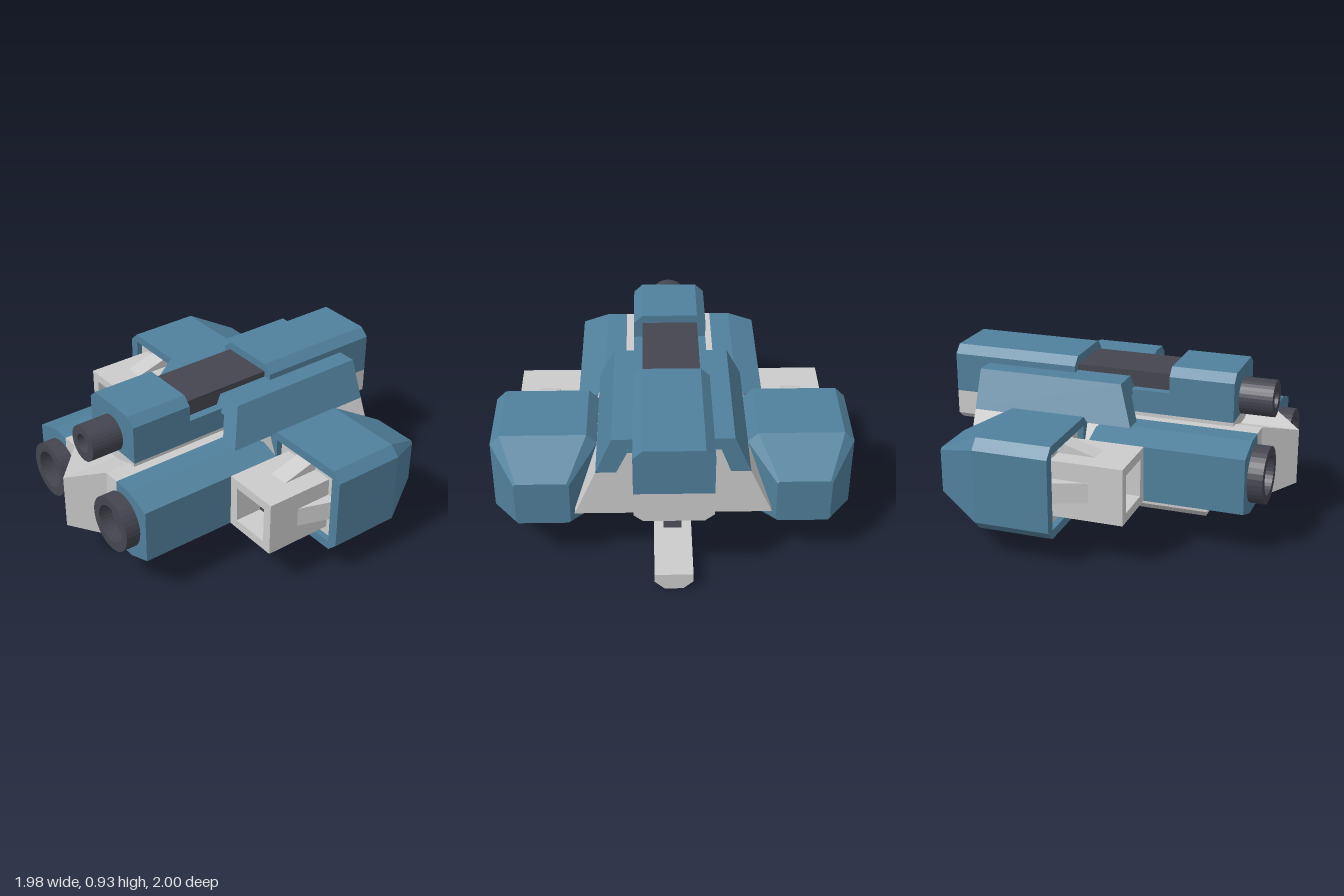
import * as THREE from 'three';

const mat = (color) => new THREE.MeshStandardMaterial({ color, flatShading: true });
const GREY = mat(0xcccccc), BLUE = mat(0x50809c), DARK = mat(0x44454f);
const SMOOTH_DARK = new THREE.MeshStandardMaterial({ color: 0x44454f, side: THREE.DoubleSide });

export function createModel() {
  const model = new THREE.Group();

  const add = (name, geometry, material, parent = model) => {
    const mesh = new THREE.Mesh(geometry, material);
    mesh.name = name;
    parent.add(mesh);
    return mesh;
  };

  // Box from its limits
  const box = (x0, x1, y0, y1, z0, z1) =>
    new THREE.BoxGeometry(x1 - x0, y1 - y0, z1 - z0)
      .translate((x0 + x1) / 2, (y0 + y1) / 2, (z0 + z1) / 2);

  // Convex cross-sections (counter-clockwise from the front) joined from back to front.
  // A point may carry a third value, an offset in z.
  const loft = (sections) => {
    const rings = sections.map(({ z, pts }) => pts.map(([x, y, dz = 0]) => [x, y, z + dz]));
    const out = [], n = rings[0].length;
    const tri = (a, b, c) => out.push(...a, ...b, ...c);
    for (let s = 0; s < rings.length - 1; s++) {
      for (let i = 0; i < n; i++) {
        const j = (i + 1) % n, p = rings[s], q = rings[s + 1];
        tri(p[i], p[j], q[j]);
        tri(p[i], q[j], q[i]);
      }
    }
    const back = rings[0], front = rings[rings.length - 1];
    for (let i = 1; i < n - 1; i++) {
      tri(back[0], back[i + 1], back[i]);
      tri(front[0], front[i], front[i + 1]);
    }
    const g = new THREE.BufferGeometry();
    g.setAttribute('position', new THREE.Float32BufferAttribute(out, 3));
    g.computeVertexNormals();
    return g;
  };
  const prism = (pts, z0, z1) =>
    loft([{ z: z0, pts: pts.map(([x, y]) => [x, y]) }, { z: z1, pts }]);
  const flip = (pts) => pts.map(([x, ...rest]) => [-x, ...rest]).reverse();
  const octagon = (cx, cy, hx, hy, c) => [
    [hx, c - hy], [hx, hy - c], [hx - c, hy], [c - hx, hy],
    [-hx, hy - c], [-hx, c - hy], [c - hx, -hy], [hx - c, -hy],
  ].map(([x, y]) => [cx + x, cy + y]);

  // Flat outline in (z, y) extruded across x
  const sidePlate = (pts, x0, x1) => {
    const shape = new THREE.Shape(pts.map(([z, y]) => new THREE.Vector2(-z, y)));
    return new THREE.ExtrudeGeometry(shape, { depth: x1 - x0, bevelEnabled: false })
      .rotateY(Math.PI / 2).translate(x0, 0, 0);
  };

  // Square frame with a hole, extruded along z
  const frame = (outer, hole, z0, z1) => {
    const v = (pts) => pts.map(([x, y]) => new THREE.Vector2(x, y));
    const shape = new THREE.Shape(v(outer));
    shape.holes.push(new THREE.Path(v(hole)));
    return new THREE.ExtrudeGeometry(shape, { depth: z1 - z0, bevelEnabled: false }).translate(0, 0, z0);
  };
  const square = (h, hy = h) => [[-h, -hy], [h, -hy], [h, hy], [-h, hy]];

  // Recessed tube pointing forward
  const tube = (r, hole, depth, length) => new THREE.LatheGeometry(
    [[r, 0], [r, 0], [r, length], [r, length], [hole, length], [hole, length],
      [hole, length - depth], [hole, length - depth], [0, length - depth]]
      .map(([x, y]) => new THREE.Vector2(x, y)), 32).rotateX(Math.PI / 2).toNonIndexed();

  // Lower body: pointed centre, inner cheeks and outer nacelles
  for (const side of [1, -1]) {
    const m = (pts) => (side > 0 ? pts : flip(pts));
    add('nose', prism(m([[0, 0.265, 0.175], [0.16, 0.215], [0.16, 0.637], [0, 0.585, 0.175]]), -0.05, 0.825), GREY);
    add('innerCheek', prism(m([[0.16, 0.215], [0.26, 0.215], [0.26, 0.637], [0.16, 0.637]]), -0.05, 0.825), GREY);
    add('nacelle', prism(m([[0.26, 0.215], [0.38, 0.215], [0.53, 0.27], [0.53, 0.585], [0.38, 0.637], [0.26, 0.637]]), -0.05, 0.825), BLUE);
    const ring = tube(0.16, 0.11, 0.08, 0.11);
    ring.computeVertexNormals();
    add('engineRing', ring, SMOOTH_DARK).position.set(side * 0.315, 0.425, 0.80);
  }

  // Rear hull
  add('rearHull', prism([[-0.53, 0.36], [0.53, 0.36], [0.41, 0.636], [-0.41, 0.636]], -0.79, -0.04), GREY);
  add('hullFill', prism([[-0.31, 0.62], [0.31, 0.62], [0.25, 0.78], [-0.25, 0.78]], -0.79, -0.05), GREY);
  add('hullFront', box(-0.24, 0.24, 0.63, 0.76, -0.05, 0.0), DARK);

  // Armour arch with a raked front
  const arch = new THREE.Shape([[0.41, 0.636], [0.32, 0.85], [-0.32, 0.85], [-0.41, 0.636],
    [-0.30, 0.636], [-0.24, 0.765], [0.24, 0.765], [0.30, 0.636]].map(([x, y]) => new THREE.Vector2(x, y)));
  const armour = new THREE.ExtrudeGeometry(arch, { depth: 0.85, bevelEnabled: false }).translate(0, 0, -0.79);
  const ap = armour.attributes.position;
  for (let i = 0; i < ap.count; i++) {
    if (ap.getZ(i) > 0) ap.setZ(i, 0.06 + (0.85 - ap.getY(i)) * 0.4);
  }
  armour.computeVertexNormals();
  add('armour', armour, BLUE);

  // Top gun: base, front housing, slide, rear housing and barrel
  const housing = [[-0.21, 0.66], [0.21, 0.66], [0.21, 0.885], [0.16, 0.932], [-0.16, 0.932], [-0.21, 0.885]];
  add('gunPedestal', box(-0.205, 0.205, 0.6, 0.66, -0.79, 0.675), GREY);
  add('gunBase', box(-0.21, 0.21, 0.66, 0.79, -0.3, 0.32), BLUE);
  add('gunFront', prism(housing, 0.305, 0.675), BLUE);
  add('gunSlide', box(-0.16, 0.16, 0.78, 0.885, -0.27, 0.32), DARK);
  add('gunRear', prism(housing, -1, -0.255), BLUE);
  add('gunRearFoot', prism([[-0.16, 0.48], [0.16, 0.48], [0.21, 0.52], [0.21, 0.66], [-0.21, 0.66], [-0.21, 0.52]], -1, -0.78), GREY);
  const barrel = tube(0.105, 0.055, 0.12, 0.2);
  barrel.computeVertexNormals();
  add('gunBarrel', barrel, SMOOTH_DARK).position.set(0, 0.755, 0.665);

  // Side pods with square thrusters
  for (const side of [1, -1]) {
    const pod = new THREE.Group();
    pod.name = side > 0 ? 'leftPod' : 'rightPod';
    pod.position.set(side * 0.7, 0.4275, 0);
    model.add(pod);
    const outline = octagon(0, 0, 0.29, 0.2625, 0.055);
    add('podShell', loft([
      { z: -0.79, pts: octagon(0, 0, 0.147, 0.133, 0.012) },
      { z: -0.53, pts: outline },
      { z: -0.16, pts: outline },
    ]), BLUE, pod);
    add('podRim', frame(outline, square(0.23, 0.212), -0.16, -0.105), BLUE, pod);
    add('podPanel', box(-0.23, 0.23, -0.212, 0.212, -0.17, -0.14), GREY, pod);
    add('thrusterFrame', frame(square(0.17, 0.159), square(0.115, 0.107), -0.15, 0.265), GREY, pod);
    add('thrusterCore', box(-0.116, 0.116, -0.108, 0.108, -0.15, 0.1), DARK, pod);
    // Four wedge braces around the thruster
    for (let k = 0; k < 4; k++) {
      const [a, b] = k % 2 ? [0.17, 0.23] : [0.159, 0.212];
      const wedge = sidePlate([[0.075, a], [-0.105, b], [-0.145, b], [-0.145, a - 0.01], [0.075, a - 0.01]], -0.057, 0.057);
      add('thrusterBrace', wedge, GREY, pod).rotation.z = k * Math.PI / 2;
    }
  }

  // Keel rail, its forked front mount and the rear strut
  const rail = (front) => [[-0.05, 0, 0], [0.05, 0, 0], [0.105, 0.05, front * 0.02],
    [0.105, 0.1, front * 0.04], [-0.105, 0.1, front * 0.04], [-0.105, 0.05, front * 0.02]];
  add('keelRail', prism(rail(1), -1, 0.49), GREY);
  for (const x of [-0.105, 0.05]) {
    add('keelMount', sidePlate([[0.53, 0.09], [0.16, 0.09], [0.215, 0.25], [0.593, 0.25]], x, x + 0.055), GREY);
  }
  add('keelStrut', sidePlate([[-0.44, 0.09], [-0.62, 0.09], [-0.52, 0.38], [-0.34, 0.38]], -0.05, 0.05), DARK);

  return model;
}
